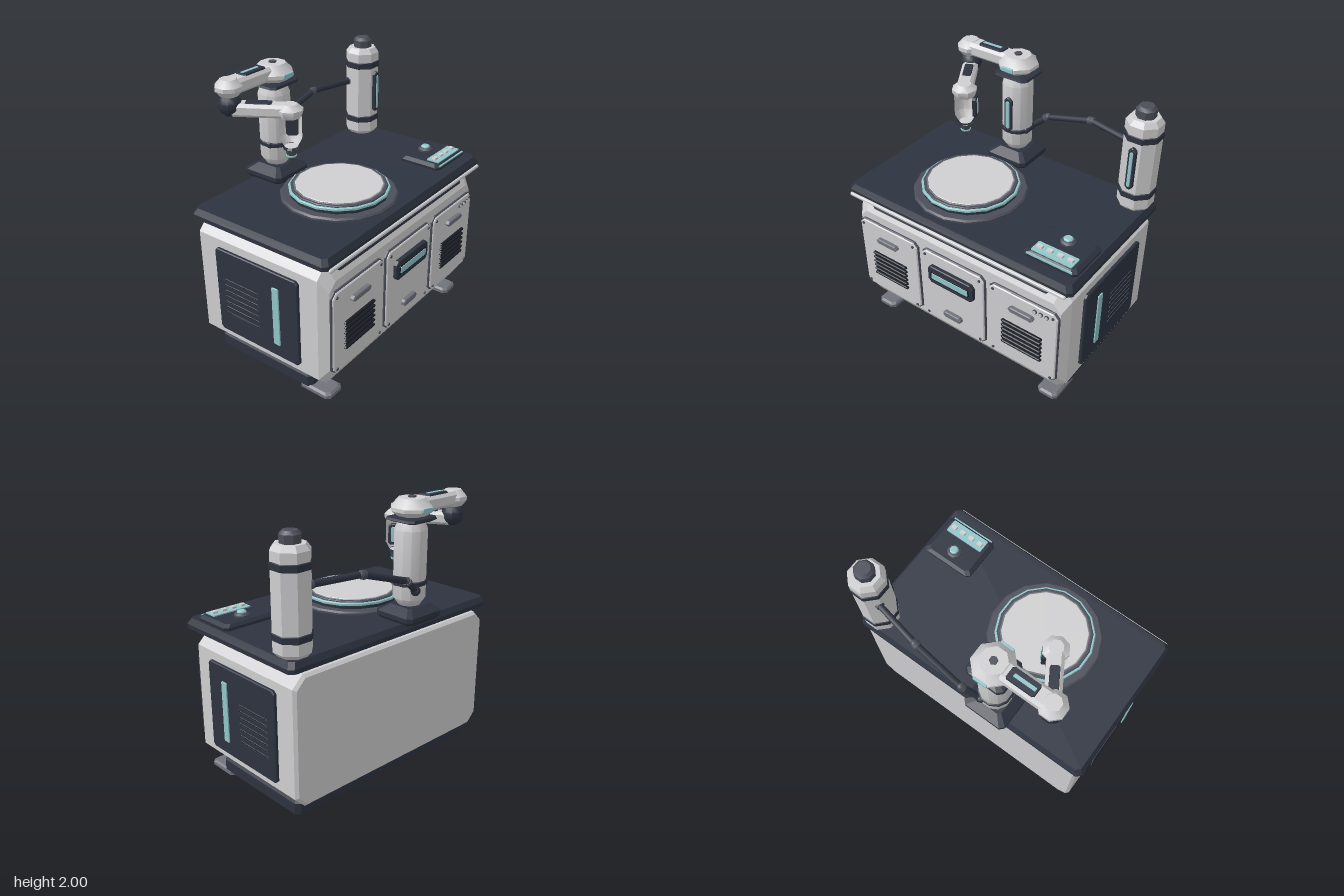
import * as THREE from 'three';
import { toCreasedNormals } from 'three/addons/utils/BufferGeometryUtils.js';

const colour = (name, hex, side = THREE.FrontSide) => {
  const m = new THREE.MeshStandardMaterial({ color: hex, side });
  m.name = name;
  return m;
};
const light = colour('light grey shell', 0xcfcfd1);
const navy = colour('dark navy', 0x2d3340);
const black = colour('slot black', 0x1a1d25);
const grey = colour('mid grey', 0x70727b);
const charcoal = colour('charcoal', 0x4b4e59);
const teal = colour('pale teal', 0x92c6c9);

// Stack of chamfered rectangles along y; level = [y, halfX, halfZ, chamfer]
function slab(levels) {
  const pos = [], index = [], last = (levels.length - 1) * 8;
  for (const [y, a, b, c] of levels) {
    const ring = [[a, b - c], [a, c - b], [a - c, -b], [c - a, -b], [-a, c - b], [-a, b - c], [c - a, b], [a - c, b]];
    ring.forEach(([x, z]) => pos.push(x, y, z));
  }
  for (let k = 0; k < last; k += 8)
    for (let i = 0; i < 8; i++) {
      const p = k + i, q = k + (i + 1) % 8;
      index.push(p, q, q + 8, p, q + 8, p + 8);
    }
  for (let i = 1; i < 7; i++) index.push(0, i + 1, i, last, last + i, last + i + 1);
  const g = new THREE.BufferGeometry();
  g.setAttribute('position', new THREE.Float32BufferAttribute(pos, 3));
  g.setIndex(index);
  const flat = g.toNonIndexed();
  flat.computeVertexNormals();
  return flat;
}

// Bevelled plate facing +z, its back at z = 0
function plate(w, h, d, c = 0.02, bevel = 0.006) {
  const a = w / 2, b = h / 2;
  return slab([[0, a, b, c], [d - bevel, a, b, c], [d, a - bevel, b - bevel, c]]).rotateX(Math.PI / 2);
}

// Turned part from [radius, y] points, a flat side facing the front
function turned(points, sides) {
  const pts = points.map(([r, y]) => new THREE.Vector2(r, y));
  return toCreasedNormals(new THREE.LatheGeometry(pts, sides, Math.PI / sides), 0.6);
}

function add(parent, name, geo, mat, x = 0, y = 0, z = 0) {
  const m = new THREE.Mesh(geo, mat);
  m.name = name;
  m.position.set(x, y, z);
  parent.add(m);
  return m;
}

function group(parent, name, x = 0, y = 0, z = 0, turn = 0) {
  const g = new THREE.Group();
  g.name = name;
  g.position.set(x, y, z);
  g.rotation.y = turn;
  parent.add(g);
  return g;
}

// Straight rod between two points
function rod(parent, name, a, b, r, mat, sides = 8) {
  const dir = b.clone().sub(a);
  const m = add(parent, name, new THREE.CylinderGeometry(r, r, dir.length(), sides), mat);
  m.position.copy(a).add(b).multiplyScalar(0.5);
  m.quaternion.setFromUnitVectors(new THREE.Vector3(0, 1, 0), dir.normalize());
}

function buildCabinet(root) {
  const g = group(root, 'cabinet');
  add(g, 'plinth', slab([[0.01, 0.83, 0.4, 0.03], [0.03, 0.85, 0.42, 0.03], [0.11, 0.85, 0.42, 0.03], [0.14, 0.83, 0.4, 0.03]]), navy, 0, 0, -0.053);
  for (const s of [1, -1])
    add(g, 'foot', slab([[0, 0.08, 0.13, 0.025], [0.025, 0.08, 0.13, 0.025], [0.038, 0.065, 0.115, 0.025]]), grey, s * 0.77, 0, 0.39);
  add(g, 'body', slab([[-0.545, 0.895, 0.445, 0.07], [-0.525, 0.915, 0.465, 0.08],
    [0.49, 0.915, 0.465, 0.08], [0.555, 0.875, 0.36, 0.06]]).rotateX(Math.PI / 2), light, 0, 0.595, 0);
  add(g, 'countertop', slab([[1.06, 0.885, 0.515, 0.03], [1.095, 0.95, 0.573, 0.03], [1.125, 0.95, 0.573, 0.03], [1.165, 0.925, 0.55, 0.03]]), navy, 0, 0, 0.0125);
  add(g, 'counterTrim', plate(1.84, 0.026, 0.025, 0.008), light, 0, 1.092, 0.577);

  // Light bar on the sloped upper front
  const bar = group(g, 'lightBar', 0, 1.015, 0.512);
  bar.rotation.x = -0.5;
  add(bar, 'barHousing', plate(1.52, 0.06, 0.025, 0.015), navy);
  add(bar, 'barLight', plate(1.44, 0.026, 0.006, 0.006, 0.002), teal, 0, 0.005, 0.025);

  // Three front doors
  [-0.595, 0, 0.595].forEach((x, n) => {
    const d = group(g, 'door', x, 0.575, 0.55);
    add(d, 'doorEdge', plate(0.56, 0.635, 0.02, 0.035), charcoal);
    add(d, 'doorFace', plate(0.545, 0.62, 0.03, 0.032), light);
    for (const sx of [-1, 1]) for (const sy of [-1, 1])
      add(d, 'screw', new THREE.CylinderGeometry(0.011, 0.011, 0.01, 8).rotateX(Math.PI / 2), charcoal, sx * 0.24, sy * 0.28, 0.032);
    if (n === 1) {
      add(d, 'displayFrame', plate(0.4, 0.15, 0.03, 0.025), navy, 0, 0.14, 0.03);
      add(d, 'displayRecess', plate(0.34, 0.07, 0.004, 0.01, 0.001), black, 0, 0.14, 0.06);
      add(d, 'display', plate(0.32, 0.05, 0.004, 0.004, 0.001), teal, 0, 0.14, 0.064);
      add(d, 'handle', plate(0.16, 0.05, 0.03, 0.015), grey, 0, -0.19, 0.03);
    } else {
      add(d, 'handle', plate(0.2, 0.042, 0.03, 0.018), grey, 0, 0.193, 0.03);
      for (let i = 0; i < 6; i++) add(d, 'ventSlot', plate(0.33, 0.021, 0.02, 0.008), black, 0, 0.04 - i * 0.039, 0.03);
    }
    if (n === 2) for (let i = 0; i < 3; i++) {
      add(d, 'indicatorRim', new THREE.CylinderGeometry(0.016, 0.016, 0.012, 10).rotateX(Math.PI / 2), charcoal, 0.1 + i * 0.047, 0.265, 0.033);
      add(d, 'indicator', new THREE.CylinderGeometry(0.011, 0.011, 0.012, 10).rotateX(Math.PI / 2), light, 0.1 + i * 0.047, 0.265, 0.036);
    }
  });

  // Mirrored side panels
  for (const s of [1, -1]) {
    const p = group(g, 'sidePanel', s * 0.91, 0.59, 0, s * Math.PI / 2);
    add(p, 'panelFace', plate(0.715, 0.66, 0.027, 0.02), navy, s * 0.012, 0, 0);
    add(p, 'panelLight', plate(0.055, 0.45, 0.009, 0.006, 0.002), teal, -s * 0.163, -0.005, 0.027);
    for (let i = 0; i < 7; i++) {
      add(p, 'louvreEdge', plate(0.3, 0.014, 0.004, 0.004, 0.001), charcoal, s * 0.143, 0.105 - i * 0.045, 0.027);
      add(p, 'louvre', plate(0.29, 0.008, 0.006, 0.002, 0.001), black, s * 0.143, 0.107 - i * 0.045, 0.027);
    }
  }
}

function buildCounterItems(root) {
  // Round work platform
  const t = group(root, 'turntable', -0.19, 1.16, 0.11);
  const disc = (name, r, y0, y1, mat, b = 0.005) => add(t, name, turned([[0, y0], [r, y0], [r, y1 - b], [r - b, y1], [0, y1]], 16), mat);
  disc('baseRing', 0.41, 0, 0.03, charcoal, 0.012);
  disc('platterUnderside', 0.345, 0.03, 0.055, navy);
  disc('glowRing', 0.352, 0.055, 0.073, teal);
  disc('platterRim', 0.336, 0.073, 0.084, charcoal);
  disc('innerRim', 0.318, 0.08, 0.087, grey);
  disc('platter', 0.306, 0.08, 0.091, light);

  // Control console
  const c = group(root, 'console', 0.712, 1.16, 0.31);
  add(c, 'consoleBase', slab([[0, 0.2, 0.165, 0.025], [0.025, 0.203, 0.167, 0.025], [0.045, 0.175, 0.145, 0.025]]), navy);
  add(c, 'knobRim', turned([[0, 0.04], [0.055, 0.04], [0.055, 0.058], [0.04, 0.07], [0, 0.07]], 8), charcoal, 0, 0, -0.065);
  add(c, 'knob', turned([[0, 0.06], [0.033, 0.06], [0.033, 0.078], [0.025, 0.085], [0, 0.085]], 8), teal, 0, 0, -0.065);
  add(c, 'keyPad', slab([[0.04, 0.153, 0.05, 0.004], [0.053, 0.153, 0.05, 0.004]]), teal, 0, 0, 0.09);
  for (let i = 0; i < 4; i++)
    add(c, 'key', slab([[0.05, 0.023, 0.018, 0.004], [0.066, 0.02, 0.015, 0.004]]), light, -0.115 + i * 0.077, 0, 0.088);
  add(c, 'edgeLight', slab([[0.02, 0.17, 0.006, 0.001], [0.036, 0.17, 0.006, 0.001]]), teal, 0, 0, 0.16);

  // Canister tower
  const w = group(root, 'canister', 0.828, 0, -0.435);
  add(w, 'canisterShell', turned([[0, 1.16], [0.1, 1.165], [0.128, 1.195], [0.128, 1.825], [0.1, 1.862], [0, 1.862]], 8), light);
  for (const y of [1.295, 1.735])
    add(w, 'canisterBand', turned([[0.125, y - 0.027], [0.134, y - 0.02], [0.134, y + 0.02], [0.125, y + 0.027]], 8), navy);
  add(w, 'canisterCap', turned([[0.07, 1.855], [0.07, 1.915], [0.05, 1.937], [0, 1.937]], 8), charcoal);
  add(w, 'gaugeFrame', plate(0.055, 0.32, 0.03, 0.02), navy, 0, 1.52, 0.115);
  add(w, 'gauge', plate(0.024, 0.27, 0.006, 0.008, 0.002), teal, 0, 1.52, 0.145);
}

function buildArm(root) {
  const a = group(root, 'arm', -0.19, 0, -0.455);
  add(a, 'armBase', slab([[1.16, 0.155, 0.15, 0.03], [1.185, 0.17, 0.165, 0.03], [1.215, 0.17, 0.165, 0.03], [1.26, 0.1, 0.1, 0.02]]), navy);
  add(a, 'column', turned([[0.06, 1.25], [0.078, 1.26], [0.112, 1.31], [0.112, 1.78], [0.088, 1.84]], 12), light);
  add(a, 'columnBand', turned([[0.108, 1.4], [0.121, 1.408], [0.121, 1.432], [0.108, 1.44]], 12), navy);
  for (const s of [-1, 1]) add(a, 'bandLug', plate(0.035, 0.04, 0.03, 0.008), navy, s * 0.1, 1.42, 0.02);
  add(a, 'columnLightFrame', plate(0.062, 0.27, 0.03, 0.02), navy, 0, 1.56, 0.095);
  add(a, 'columnLight', plate(0.03, 0.22, 0.006, 0.008, 0.002), teal, 0, 1.56, 0.125);
  add(a, 'collar', slab([[1.832, 0.1, 0.1, 0.02], [1.848, 0.142, 0.125, 0.03], [1.862, 0.135, 0.12, 0.03], [1.872, 0.09, 0.09, 0.02]]), navy);
  add(a, 'shoulder', turned([[0, 1.86], [0.09, 1.865], [0.146, 1.905], [0.146, 1.93], [0.092, 1.99], [0, 1.99]], 8), light);
  for (const turn of [0, Math.PI]) {
    const p = group(a, 'shoulderLight', 0, 1.922, 0, turn);
    add(p, 'shoulderLamp', plate(0.1, 0.03, 0.02, 0.005, 0.002), teal, 0, 0, 0.125);
  }
  add(a, 'shoulderBolt', new THREE.CylinderGeometry(0.028, 0.028, 0.014, 6), charcoal, 0, 1.993, 0);

  // Upper beam and elbow
  add(a, 'upperBeam', slab([[-0.42, 0.05, 0.067, 0.022], [-0.05, 0.05, 0.067, 0.022]]).rotateZ(-Math.PI / 2), light, 0, 1.935, 0);
  add(a, 'beamInset', slab([[1.98, 0.105, 0.048, 0.012], [1.994, 0.1, 0.043, 0.012]]), navy, -0.215, 0, 0);
  add(a, 'beamLight', slab([[1.99, 0.078, 0.012, 0.003], [1.997, 0.078, 0.012, 0.003]]), teal, -0.225, 0, 0);
  add(a, 'elbowCap', turned([[0, 1.872], [0.06, 1.876], [0.097, 1.918], [0.097, 1.945], [0.056, 1.99], [0, 1.99]], 8), light, -0.425, 0, 0);
  add(a, 'elbowJoint', toCreasedNormals(new THREE.SphereGeometry(0.08, 10, 7), 0.7), navy, -0.425, 1.815, 0);

  // Forearm runs along local x toward the platform
  const f = group(a, 'forearm', -0.425, 1.788, 0, -1.0217);
  add(f, 'forearmBeam', slab([[0.02, 0.045, 0.055, 0.02], [0.39, 0.045, 0.055, 0.02]]).rotateZ(-Math.PI / 2), light);
  add(f, 'forearmInset', slab([[0.035, 0.09, 0.035, 0.01], [0.052, 0.085, 0.03, 0.01]]), navy, 0.19, 0, 0);
  const w = group(f, 'wrist', 0.393, 0, 0);
  add(w, 'wristCap', turned([[0.07, -0.045], [0.09, -0.01], [0.09, 0.012], [0.05, 0.046], [0, 0.046]], 8), light);
  add(w, 'wristBody', turned([[0.072, -0.03], [0.075, -0.05], [0.075, -0.195], [0.045, -0.25], [0, -0.25]], 12), light);
  const p = group(w, 'wristPanel', 0, -0.125, 0, Math.PI);
  add(p, 'wristPanelFrame', plate(0.085, 0.15, 0.03, 0.015), navy, 0, 0, 0.056);
  add(p, 'wristLight', plate(0.04, 0.11, 0.006, 0.008, 0.002), teal, 0, 0, 0.086);
  add(w, 'nozzleRing', turned([[0.03, -0.235], [0.056, -0.25], [0.056, -0.265], [0.03, -0.28]], 10), navy);
  add(w, 'nozzle', turned([[0, -0.325], [0.028, -0.325], [0.045, -0.27]], 10), charcoal);
  add(w, 'nozzleGlow', turned([[0.02, -0.328], [0.036, -0.322], [0.038, -0.312], [0.02, -0.306]], 10), teal);
  add(w, 'nozzleTip', turned([[0, -0.378], [0.006, -0.375], [0.028, -0.325], [0, -0.32]], 10), charcoal);
}

function buildHose(root) {
  const g = group(root, 'hose');
  const pts = [[-0.14, 1.38, -0.555], [-0.01, 1.485, -0.59], [0.375, 1.602, -0.56], [0.74, 1.597, -0.485]].map((p) => new THREE.Vector3(...p));
  for (let i = 0; i < 3; i++) {
    rod(g, 'hoseSegment', pts[i], pts[i + 1], 0.023, navy);
    const back = pts[i + 1].clone().lerp(pts[i], 0.03 / pts[i].distanceTo(pts[i + 1]));
    rod(g, 'hoseCollar', back, pts[i + 1], 0.031, charcoal);
    add(g, 'hoseJoint', new THREE.SphereGeometry(0.028, 8, 6), charcoal).position.copy(pts[i + 1]);
  }
  add(g, 'hoseMount', new THREE.SphereGeometry(0.035, 8, 6), navy).position.copy(pts[0]);
}

export function createModel() {
  const root = new THREE.Group();
  root.name = 'fabricationBench';
  buildCabinet(root);
  buildCounterItems(root);
  buildArm(root);
  buildHose(root);
  return root;
}
